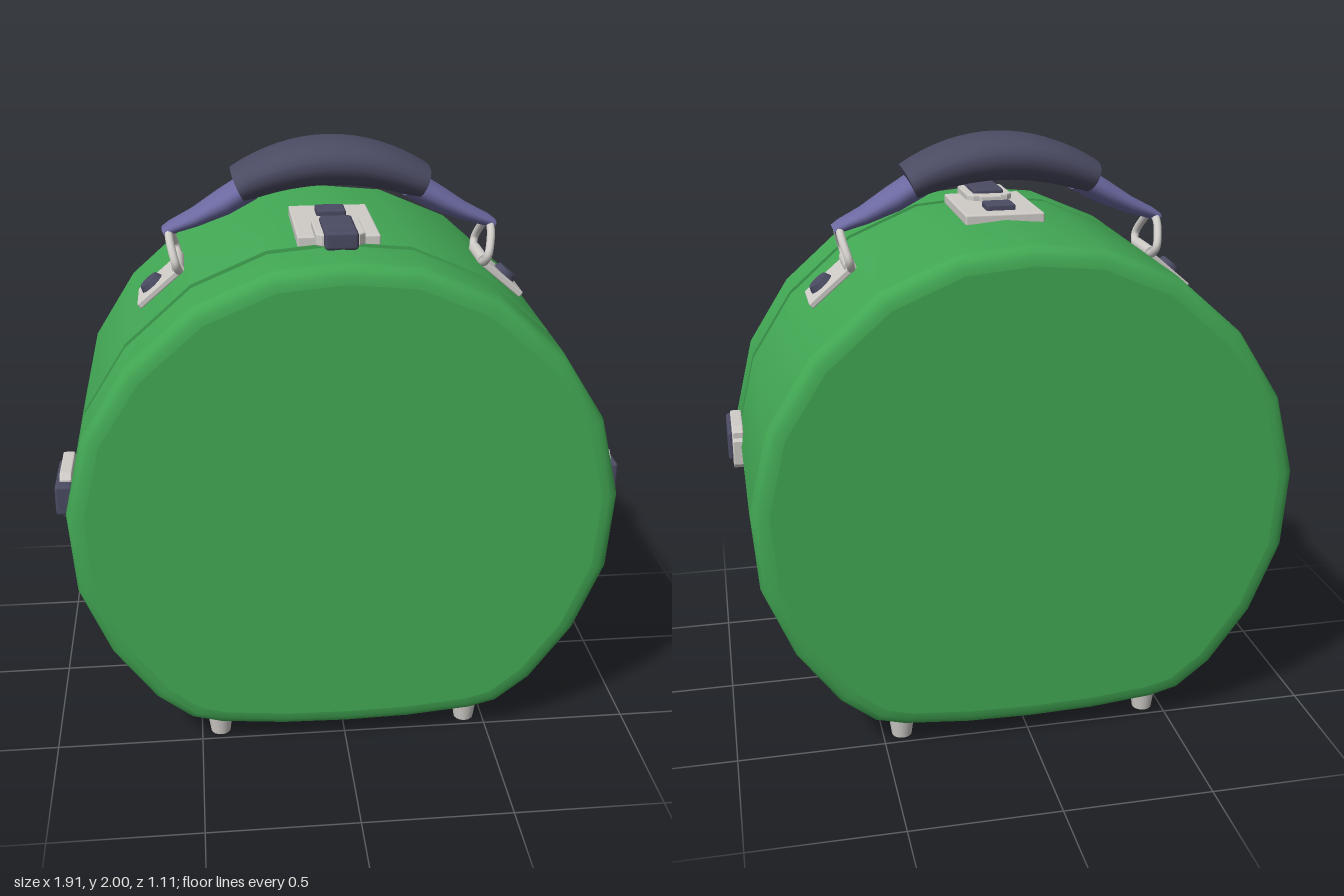
import * as THREE from 'three';
import { RoundedBoxGeometry } from 'three/addons/geometries/RoundedBoxGeometry.js';

const mat = (name, color) => {
  const m = new THREE.MeshStandardMaterial({ color });
  m.name = name;
  return m;
};

// Skin a list of closed rings; each ring turns counter-clockwise seen from the start end.
function loft(rings, capStart = true, capEnd = true) {
  const n = rings[0].length, pos = [], idx = [];
  rings.forEach(r => r.forEach(p => pos.push(...p)));
  for (let k = 0; k < rings.length - 1; k++) {
    for (let i = 0; i < n; i++) {
      const a = k * n + i, d = k * n + (i + 1) % n;
      idx.push(a, a + n, d + n, a, d + n, d);
    }
  }
  const cap = (ring, flip) => {
    const c = pos.length / 3;
    pos.push(...[0, 1, 2].map(j => ring.reduce((s, p) => s + p[j], 0) / n));
    ring.forEach(p => pos.push(...p));
    for (let i = 0; i < n; i++) {
      const a = c + 1 + i, b = c + 1 + (i + 1) % n;
      idx.push(c, flip ? b : a, flip ? a : b);
    }
  };
  if (capStart) cap(rings[0], false);
  if (capEnd) cap(rings[rings.length - 1], true);
  const g = new THREE.BufferGeometry();
  g.setAttribute('position', new THREE.Float32BufferAttribute(pos, 3));
  g.setIndex(idx);
  g.computeVertexNormals();
  return g;
}

// Case outline: right half from bottom to top, then mirrored
const half = [[0.22, 0.065], [0.44, 0.085], [0.535, 0.11], [0.65, 0.2], [0.79, 0.39], [0.89, 0.63],
  [0.91, 0.9], [0.845, 1.17], [0.7, 1.4], [0.48, 1.595], [0.235, 1.7]];
const outline = [[0, 0.06], ...half, [0, 1.722], ...half.slice().reverse().map(([x, y]) => [-x, y])];
const caseRing = ([z, inset]) => outline.map(([x, y]) =>
  [x * (1 - inset / 0.9), 0.89 + (y - 0.89) * (1 - inset / 0.84), z]);

// Handle sections along x: [x, y, half thickness, half width]
function handlePart(stations, sides = 20) {
  return loft(stations.map(([x, y, h, w], k) => {
    const p = stations[Math.max(k - 1, 0)], q = stations[Math.min(k + 1, stations.length - 1)];
    const len = Math.hypot(q[0] - p[0], q[1] - p[1]);
    const nx = -(q[1] - p[1]) / len, ny = (q[0] - p[0]) / len;
    return Array.from({ length: sides }, (_, i) => {
      const a = i / sides * Math.PI * 2, c = Math.cos(a), s = Math.sin(a);
      const u = Math.sign(c) * Math.abs(c) ** 0.85 * h;
      const v = -Math.sign(s) * Math.abs(s) ** 0.85 * w * (c < 0 ? 1 + 0.15 * c : 1);
      return [x + nx * u, y + ny * u, v];
    });
  }));
}

export function createModel() {
  const root = new THREE.Group();
  root.name = 'roundCase';
  const green = mat('green shell', 0x42a854);
  const dark = mat('dark slate', 0x4a4a62);
  const purple = mat('purple strap', 0x6b69a0);
  const metal = mat('pale metal', 0xcfccc8);

  const add = (parent, name, geo, material, x = 0, y = 0, z = 0) => {
    const m = new THREE.Mesh(geo, material);
    m.name = name;
    m.position.set(x, y, z);
    parent.add(m);
    return m;
  };
  const group = (name, x, y, z) => {
    const g = new THREE.Group();
    g.name = name;
    g.position.set(x, y, z);
    root.add(g);
    return g;
  };
  const box = (w, h, d, r = 0.008) => new RoundedBoxGeometry(w, h, d, 2, r);

  // Lid and body with rounded outer rims; repeated rings keep the seam edge sharp
  const rim = [[0, 0.06], [0.004, 0.035], [0.016, 0.014], [0.035, 0.003], [0.06, 0]];
  const lid = [...rim.map(([d, i]) => [0.555 - d, i]), [0.322, 0], [0.322, 0], [0.322, 0.06]];
  const body = [[0.282, 0.06], [0.282, 0], [0.282, 0], ...rim.map(([d, i]) => [-0.558 + d, i]).reverse()];
  add(root, 'lid', loft(lid.map(caseRing), true, false), green);
  add(root, 'body', loft(body.map(caseRing), false, true), green);
  add(root, 'seamCore', loft([[0.34, 0.042], [0.26, 0.042]].map(caseRing)), green);

  // Feet
  for (const x of [-0.435, 0.435]) {
    for (const z of [0.445, -0.442]) {
      add(root, 'foot', new THREE.CylinderGeometry(0.05, 0.034, 0.11, 20), metal, x, 0.055, z);
    }
  }

  // Hinges under the seam
  for (const s of [-1, 1]) {
    const hinge = group('hinge', s * 0.335, 0.068, 0.302);
    for (let i = 0; i < 5; i++) {
      const k = new THREE.CylinderGeometry(i % 2 ? 0.013 : 0.017, i % 2 ? 0.013 : 0.017, 0.022, 12);
      add(hinge, 'hingeKnuckle', k.rotateZ(Math.PI / 2), metal, (i - 2) * 0.023);
    }
  }

  // Latches: local y points away from the case
  const frame = new THREE.Shape([[-0.08, -0.315], [-0.06, -0.335], [0.06, -0.335], [0.08, -0.315],
    [0.08, -0.145], [0.06, -0.12], [0.04, -0.12], [0.035, -0.095], [-0.035, -0.095], [-0.04, -0.12],
    [-0.06, -0.12], [-0.08, -0.145]].map(p => new THREE.Vector2(...p)));
  const frameGeo = new THREE.ExtrudeGeometry(frame, {
    depth: 0.03, bevelSize: 0.004, bevelThickness: 0.005, bevelOffset: -0.004, bevelSegments: 2,
  }).rotateX(-Math.PI / 2);
  const latch = (name, x, y, angle) => {
    const g = group(name, x, y, 0);
    g.rotation.z = angle;
    add(g, 'latchFrame', frameGeo, metal, 0, 0.005, 0);
    add(g, 'latchHook', box(0.108, 0.06, 0.082, 0.012), dark, 0, 0.026, 0.332);
    add(g, 'latchLever', box(0.108, 0.04, 0.145, 0.012), dark, 0, 0.036, 0.219);
    return g;
  };
  latch('leftLatch', 0.9, 0.885, -Math.PI / 2);
  latch('rightLatch', -0.9, 0.885, Math.PI / 2);
  const top = latch('topLatch', 0, 1.722, 0);
  add(top, 'lockPlate', box(0.27, 0.036, 0.41, 0.006), metal, 0, 0.002, 0.075);
  add(top, 'lockButton', box(0.1, 0.03, 0.09), dark, 0, 0.025, -0.02);

  // Padded grip
  const handle = group('handle', 0, 0, -0.028);
  const grip = Array.from({ length: 17 }, (_, i) => {
    const t = i / 8 - 1;
    return [t * 0.312, 1.922 - 0.077 * t * t, 0.078 - 0.02 * t * t, 0.157 - 0.03 * t * t];
  });
  add(handle, 'grip', handlePart(grip), dark);

  // Straps, rings and anchor plates on both ends
  const strap = [[0.27, 1.84, 0.045, 0.092], [0.36, 1.788, 0.042, 0.088], [0.46, 1.737, 0.029, 0.068],
    [0.54, 1.705, 0.02, 0.052], [0.565, 1.692, 0.015, 0.045]];
  const ringPath = new THREE.CatmullRomCurve3([[0.548, 1.695, 0.035], [0.544, 1.67, 0.075],
    [0.528, 1.61, 0.12], [0.52, 1.58, 0.095], [0.52, 1.578, 0], [0.52, 1.58, -0.095],
    [0.528, 1.61, -0.12], [0.544, 1.67, -0.075], [0.548, 1.695, -0.035]]
    .map(p => new THREE.Vector3(...p)), true);
  for (const s of [1, -1]) {
    const mount = group(s > 0 ? 'leftMount' : 'rightMount', 0, 0, -0.022);
    if (s < 0) mount.rotation.y = Math.PI;
    add(mount, 'strap', handlePart(strap), purple);
    add(mount, 'ring', new THREE.TubeGeometry(ringPath, 64, 0.014, 10, true), metal);
    const anchor = new THREE.Group();
    anchor.name = 'anchor';
    anchor.position.set(0.582, 1.512, 0);
    anchor.rotation.z = -0.71;
    mount.add(anchor);
    add(anchor, 'anchorPlate', box(0.19, 0.022, 0.18, 0.005), metal, 0, 0.006, 0);
    add(anchor, 'anchorFold', new THREE.CylinderGeometry(0.021, 0.021, 0.16, 16).rotateX(Math.PI / 2),
      metal, -0.09, 0.012, 0);
    add(anchor, 'rivet', new THREE.CylinderGeometry(0.036, 0.047, 0.026, 20), dark, 0.026, 0.024, 0);
  }
  return root;
}
